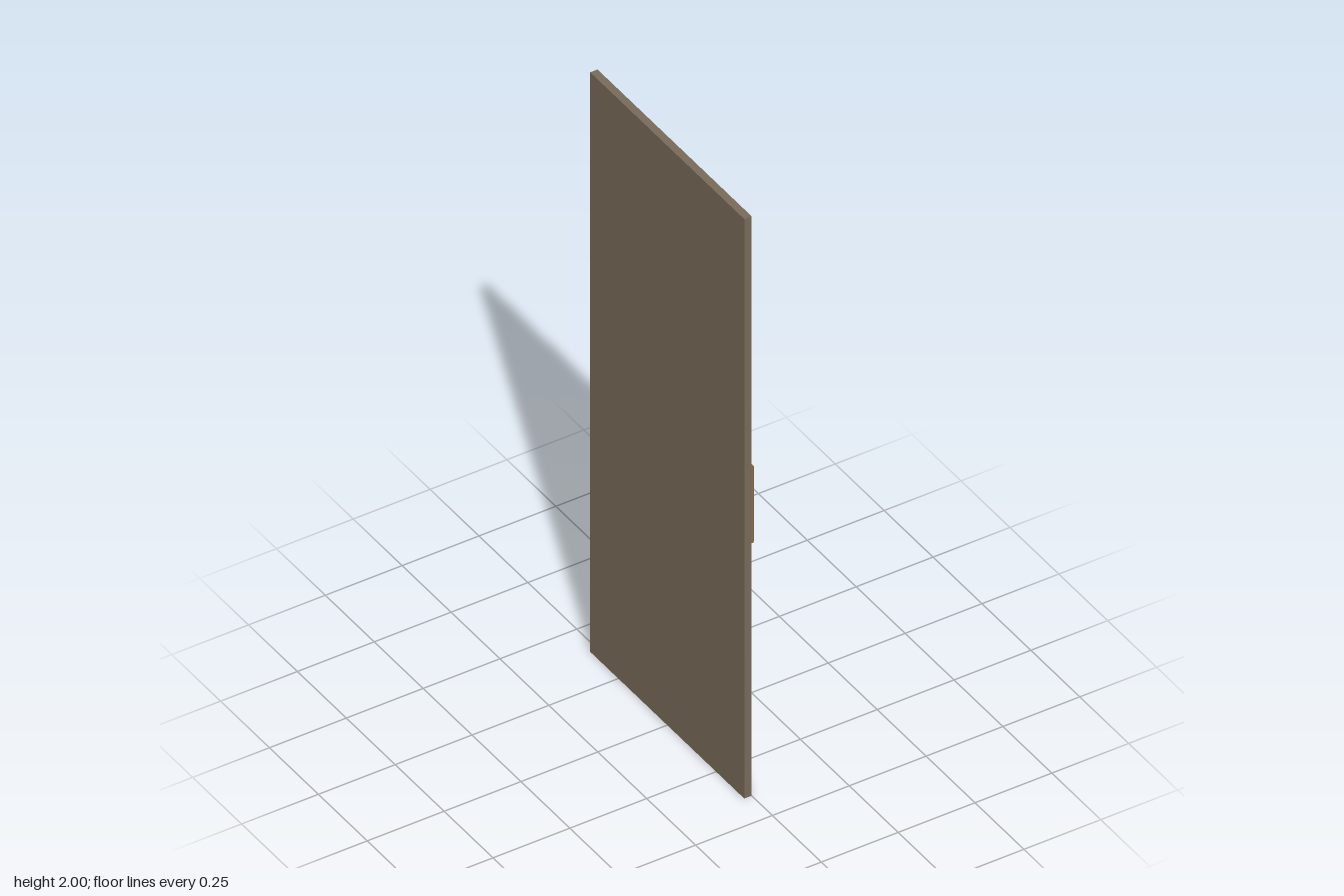
import * as THREE from 'three';

const mat = (color) => new THREE.MeshStandardMaterial({ color });

function add(parent, name, geometry, material, x = 0, y = 0, z = 0) {
  const mesh = new THREE.Mesh(geometry, material);
  mesh.name = name;
  mesh.position.set(x, y, z);
  parent.add(mesh);
  return mesh;
}

function rectangle(path, w, h) {
  path.moveTo(-w / 2, -h / 2);
  path.lineTo(w / 2, -h / 2);
  path.lineTo(w / 2, h / 2);
  path.lineTo(-w / 2, h / 2);
  path.closePath();
  return path;
}

export function createModel() {
  const model = new THREE.Group();
  const wood = mat(0x7a6b5a), brass = mat(0x8b6c4c);
  const dark = mat(0x4b443c), iron = mat(0x38332f);

  // door leaf
  add(model, 'doorPanel', new THREE.BoxGeometry(0.024, 2, 0.788), wood, -0.012, 1, 0);

  // handle assembly, built facing +z and turned to face +x
  const handle = new THREE.Group();
  handle.name = 'handle';
  handle.position.set(0, 1.003, 0.298);
  handle.rotation.y = Math.PI / 2;
  model.add(handle);

  // bevelled frame around a sunken plate
  const bevel = 0.003;
  const outline = rectangle(new THREE.Shape(), 0.192 - 2 * bevel, 0.264 - 2 * bevel);
  outline.holes.push(rectangle(new THREE.Path(), 0.148 + 2 * bevel, 0.172 + 2 * bevel));
  const frame = new THREE.ExtrudeGeometry(outline, {
    depth: 0.005, bevelThickness: bevel, bevelSize: bevel, bevelSegments: 1,
  });
  add(handle, 'handleFrame', frame, brass, 0, 0, 0.001);
  add(handle, 'sunkenPlate', new THREE.BoxGeometry(0.15, 0.174, 0.004), dark, 0, 0, 0.002);

  // pull ring, leaning out at the top
  const ring = new THREE.TorusGeometry(0.036, 0.005, 10, 40);
  ring.scale(1, 1.16, 0.7);
  const pull = add(handle, 'pullRing', ring, iron, 0, 0, 0.0115);
  pull.rotation.x = 0.09;

  // raised disc behind the ring
  const boss = new THREE.CylinderGeometry(0.026, 0.03, 0.004, 32);
  boss.rotateX(Math.PI / 2);
  boss.scale(1, 1.16, 1);
  add(handle, 'ringBoss', boss, dark, 0, 0, 0.006);

  return model;
}
